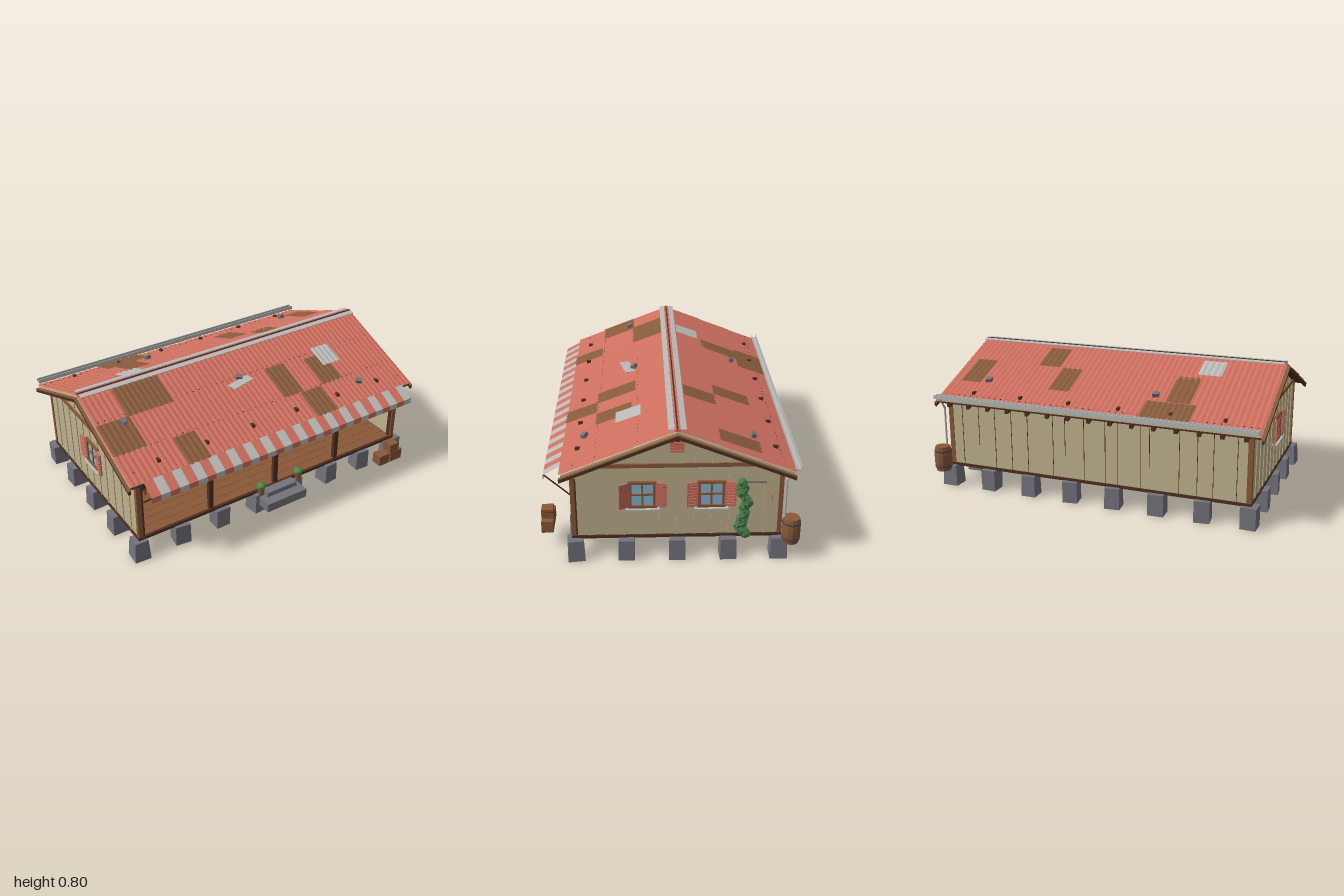
import * as THREE from 'three';

const make = (name, color, double) => {
  const m = new THREE.MeshStandardMaterial({ color });
  m.name = name;
  if (double) m.side = THREE.DoubleSide;
  return m;
};

export function createModel() {
  const house = new THREE.Group();
  house.name = 'house';
  const M = {
    red: make('red paint', 0xcd6f5f, true), dark: make('dark timber', 0x4d2f22),
    wood: make('brown wood', 0x8a5838), rust: make('rusty sheet', 0x875b3b, true),
    tan: make('tan boards', 0xbfb28d), metal: make('pale metal', 0xb9bab7, true),
    stone: make('stone', 0x74737d), glass: make('window glass', 0x8ab6cc),
    green: make('leaves', 0x4e8950), iron: make('iron', 0x44464f),
  };
  let seed = 7;
  const rnd = () => (seed = (seed * 16807) % 2147483647) / 2147483647;

  const add = (name, geo, mat, parent = house) => {
    const m = new THREE.Mesh(geo, mat);
    m.name = name;
    parent.add(m);
    return m;
  };
  const faceted = g => {
    const f = g.toNonIndexed();
    f.computeVertexNormals();
    return f;
  };
  // box given by its limits on each axis
  const box = (name, mat, x0, x1, y0, y1, z0, z1, parent) => {
    const g = new THREE.BoxGeometry(x1 - x0, y1 - y0, z1 - z0);
    g.translate((x0 + x1) / 2, (y0 + y1) / 2, (z0 + z1) / 2);
    return add(name, g, mat, parent);
  };
  // round or square bar between two points
  const bar = (name, mat, a, b, r, sides = 4) => {
    const p = new THREE.Vector3(...a), q = new THREE.Vector3(...b), d = q.clone().sub(p);
    const m = add(name, new THREE.CylinderGeometry(r, r, d.length(), sides), mat);
    m.position.copy(p).add(q).multiplyScalar(0.5);
    m.quaternion.setFromUnitVectors(new THREE.Vector3(0, 1, 0), d.normalize());
  };
  // outline in (z, y) extruded from x0 to x1
  const profile = (name, mat, pts, x0, x1) => {
    const s = new THREE.Shape(pts.map(p => new THREE.Vector2(...p)));
    const g = new THREE.ExtrudeGeometry(s, { depth: x1 - x0, bevelEnabled: false });
    g.rotateY(-Math.PI / 2).translate(x1, 0, 0);
    add(name, g, mat);
  };

  const X0 = -0.93, X1 = 0.915, ZF = 0.525, ZB = -0.6, RZ = -0.036, EF = 0.58, EB = -0.657;
  const roofY = z => 0.787 - 0.4 * Math.abs(z - RZ);

  // irregular stone footings around the perimeter
  for (let i = 0; i < 8; i++) for (let j = 0; j < 5; j++) {
    if (i > 0 && i < 7 && j > 0 && j < 4) continue;
    const g = new THREE.CylinderGeometry(0.057 + rnd() * 0.008, 0.06 + rnd() * 0.008, 0.125, 4);
    g.rotateY(Math.PI / 4 + (rnd() - 0.5) * 0.3);
    add('footing', faceted(g), M.stone).position.set(-0.925 + i * 0.263, 0.0625, 0.51 - j * 0.275);
  }

  // floor slab with staggered boards above and below
  box('floorBase', M.dark, X0 - 0.005, X1 + 0.005, 0.122, 0.14, ZB - 0.005, ZF + 0.005);
  for (let i = 0; i < 18; i++) {
    const z = ZB + 0.02 + i * 0.061, cuts = [X0 + 0.02];
    for (let x = X0 + 0.15 + rnd() * 0.35; x < X1 - 0.1; x += 0.4) cuts.push(x);
    cuts.push(X1 - 0.02);
    for (let k = 1; k < cuts.length; k++)
      box('floorBoard', M.wood, cuts[k - 1], cuts[k] - 0.002, 0.14, 0.143, z, z + 0.0592);
    box('underBoard', M.wood, X0 + 0.02, X1 - 0.02, 0.12, 0.122, z, z + 0.0597);
  }

  // back wall and gable walls
  box('backWall', M.tan, X0 + 0.005, X1 - 0.005, 0.14, 0.55, ZB, ZB + 0.014);
  const gable = [[ZB, 0.14], [ZF, 0.14], [ZF, roofY(ZF) - 0.02], [RZ, roofY(RZ) - 0.02], [ZB, roofY(ZB) - 0.02]];
  profile('leftGable', M.tan, gable, X1 - 0.016, X1 - 0.002);
  profile('rightGable', M.tan, gable, X0 + 0.002, X0 + 0.016);
  for (const x of [X0, X1 - 0.002]) {
    box('gableBand', M.wood, x - 0.008, x + 0.01, 0.555, 0.577, -0.55, 0.51);
    for (let i = 1; i < 12; i++) {
      const z = ZB + i * 0.094;
      box('boardBatten', M.tan, x - 0.003, x + 0.005, 0.14, roofY(z) - 0.03, z - 0.005, z + 0.005);
    }
  }
  for (let i = 1; i < 17; i++) {
    const x = X0 + i * 0.108 + (rnd() - 0.5) * 0.07;
    box('backJoint', M.dark, x, x + 0.003, i % 5 ? 0.14 : 0.27, 0.53, ZB - 0.002, ZB);
  }

  // corner posts, front posts, braces and beams
  for (const x of [X0, X1 - 0.022]) for (const z of [ZB - 0.004, ZF - 0.02])
    box('cornerPost', M.wood, x - 0.003, x + 0.025, 0.14, roofY(z) - 0.02, z, z + 0.024);
  box('frontBeam', M.dark, X0 + 0.02, X1 - 0.02, 0.47, 0.53, 0.5, 0.52);
  [-0.905, -0.46, -0.01, 0.445, 0.9].forEach((x, i) => {
    box('frontPost', M.dark, x - 0.014, x + 0.014, 0.14, 0.49, 0.497, 0.521);
    for (const s of [-1, 1]) if (!(i === 0 && s < 0) && !(i === 4 && s > 0))
      bar('postBrace', M.dark, [x, 0.42, 0.51], [x + s * 0.045, 0.475, 0.51], 0.009);
  });

  // inner posts and rails
  for (const x of [-0.72, -0.37, -0.1, 0.25])
    box('innerPost', M.wood, x - 0.007, x + 0.007, 0.14, 0.56, 0.193, 0.207);
  for (const [a, b] of [[-0.72, -0.46], [-0.37, -0.1], [-0.01, 0.25]]) {
    box('rail', M.wood, a, b, 0.282, 0.295, 0.19, 0.21);
    box('railTop', M.iron, a, b, 0.3, 0.31, 0.19, 0.21);
  }

  // small cabinet against the back wall with a framed door and a jar on top
  box('cabinet', M.tan, -0.9, -0.795, 0.144, 0.34, -0.586, -0.5);
  box('cabinetTop', M.wood, -0.91, -0.79, 0.34, 0.352, -0.586, -0.49);
  for (const x of [-0.9, -0.805]) box('doorStile', M.metal, x, x + 0.01, 0.18, 0.335, -0.5, -0.494);
  for (const y of [0.18, 0.325]) box('doorRail', M.metal, -0.89, -0.805, y, y + 0.01, -0.5, -0.494);
  box('doorKnob', M.iron, -0.818, -0.81, 0.25, 0.258, -0.5, -0.49);
  add('jar', new THREE.CylinderGeometry(0.018, 0.014, 0.035, 8), M.wood).position.set(-0.85, 0.37, -0.54);

  // roof boards, rafters and barge boards
  const chevron = (a, b, top, t) => [[a, roofY(a) - top], [RZ, roofY(RZ) - top], [b, roofY(b) - top],
    [b, roofY(b) - top - t], [RZ, roofY(RZ) - top - t], [a, roofY(a) - top - t]];
  profile('roofBoards', M.tan, chevron(EB + 0.012, EF - 0.012, 0.003, 0.011), -0.983, 0.967);
  profile('roofDeck', M.dark, chevron(EB + 0.01, EF - 0.01, 0.014, 0.008), -0.98, 0.964);
  for (let i = 0; i < 15; i++) {
    const x = -0.9 + i * 0.128;
    profile('rafter', M.dark, chevron(EB + 0.015, EF - 0.015, 0.022, 0.026), x - 0.011, x + 0.011);
  }
  for (const x of [-1, 0.964]) {
    profile('bargeBoard', M.dark, chevron(EB, EF, 0.02, 0.02), x + 0.002, x + 0.015);
    profile('bargeCap', M.wood, chevron(EB, EF, 0.015, 0.006), x, x + 0.017);
  }
  box('ridgeBeam', M.dark, -0.98, 0.965, 0.728, 0.752, RZ - 0.012, RZ + 0.012);

  // corrugated sheets that follow the roof slope, patches with a toothed lower edge
  const sheet = (name, mat, x0, x1, z0, z1, lift, tooth = 0) => {
    const n = Math.max(2, Math.round((x1 - x0) / 0.0165));
    const g = new THREE.PlaneGeometry(x1 - x0, z1 - z0, n, 1);
    g.rotateX(-Math.PI / 2).translate((x0 + x1) / 2, 0, (z0 + z1) / 2);
    const p = g.attributes.position, top = Math.min(Math.abs(z0 - RZ), Math.abs(z1 - RZ));
    for (let i = 0; i < p.count; i++) {
      const col = i % (n + 1), low = Math.abs(p.getZ(i) - RZ) > top + 0.01;
      if (low && col % 2) p.setZ(i, p.getZ(i) + tooth * Math.sign(z0 + z1 - 2 * RZ));
      p.setY(i, roofY(p.getZ(i)) + lift + (low ? 0.004 : 0) + (col % 2 ? 0.005 : 0));
    }
    add(name, faceted(g), mat);
  };
  for (const [a, b] of [[RZ, 0.2], [0.19, 0.4], [0.39, EF], [-0.27, RZ], [-0.48, -0.26], [EB, -0.47]])
    sheet('roofSheet', M.red, -0.984, 0.965, a, b, 0);
  const rusty = [[-0.79, -0.5, 0, 0.19], [-0.98, -0.78, 0.19, 0.39], [-0.63, -0.49, 0.4, 0.575],
    [0.13, 0.27, 0.18, 0.395], [0.24, 0.39, 0.4, 0.575], [0.41, 0.56, 0.2, 0.395],
    [-0.58, -0.29, -0.655, -0.48], [-0.54, -0.4, -0.475, -0.25], [0.19, 0.32, -0.475, -0.27],
    [0.77, 0.9, -0.475, -0.26], [0.34, 0.48, -0.265, -0.09]];
  rusty.forEach(r => sheet('rustyPatch', M.rust, ...r, 0.006, 0.012));
  sheet('metalPatch', M.metal, 0.5, 0.63, 0.15, 0.285, 0.012, 0.008);
  sheet('metalPatch', M.metal, -0.65, -0.51, -0.225, -0.09, 0.01, 0.008);
  const loose = add('looseSheet', new THREE.BoxGeometry(0.165, 0.003, 0.06), M.metal);
  loose.position.set(-0.07, 0.71, 0.23);
  loose.rotation.y = 0.25;

  // ridge caps, screws, roof hooks and weighing stones
  for (const s of [-1, 1]) {
    const cap = box('ridgeCap', M.metal, -0.975, 0.96, -0.0015, 0.0015, -0.016, 0.016);
    cap.position.set(0, 0.794, RZ + s * 0.031);
    cap.rotation.x = s * 0.12;
  }
  box('ridgeRoll', M.red, -0.98, 0.965, 0.785, 0.794, RZ - 0.014, RZ + 0.014);
  box('ridgePole', M.dark, -0.98, 0.965, 0.79, 0.798, RZ - 0.004, RZ + 0.004);
  for (const z of [-0.6, 0.17, 0.39]) for (let i = 0; i < 48; i++) {
    const x = -0.96 + i * 0.04;
    box('screw', M.dark, x, x + 0.007, roofY(z), roofY(z) + 0.008, z - 0.0015, z + 0.0015);
  }
  for (const z of [-0.575, 0.49]) for (let i = 0; i < 6; i++) {
    const x = -0.77 + i * 0.305;
    box('roofHook', M.dark, x - 0.008, x + 0.008, roofY(z), roofY(z) + 0.018, z - 0.012, z + 0.014);
  }
  for (const [x, z] of [[-0.33, -0.435], [0.72, -0.455], [-0.83, 0.22], [0.64, 0.46], [-0.055, 0.19]]) {
    const r = add('roofStone', new THREE.BoxGeometry(0.036, 0.022, 0.028), M.stone);
    r.position.set(x, x === -0.055 ? 0.722 : roofY(z) + 0.018, z);
    r.rotation.set(z > 0 ? 0.38 : -0.38, x * 9, 0);
  }

  // striped awning with valance and struts
  const slope = new THREE.PlaneGeometry(0.0563, Math.hypot(0.09, 0.05));
  slope.rotateX(-Math.PI / 2 + Math.atan2(0.05, 0.09));
  const flap = new THREE.PlaneGeometry(0.0563, 0.034);
  for (let i = 0; i < 32; i++) {
    const x = -0.91 + (i + 0.5) * 0.0563, mat = i % 2 ? M.metal : M.red;
    add('awningStripe', slope, mat).position.set(x, 0.528, 0.623);
    add('awningFlap', flap, mat).position.set(x, 0.486, 0.668);
  }
  for (const x of [-0.905, 0.885]) bar('awningStrut', M.dark, [x, 0.37, 0.522], [x, 0.503, 0.666], 0.0045);
  bar('awningRod', M.dark, [-0.91, 0.502, 0.664], [0.89, 0.502, 0.664], 0.003);

  // windows, built facing +z and turned onto the side walls
  const windowAt = (side, z, slats) => {
    const w = new THREE.Group();
    w.name = 'window';
    box('glass', M.glass, -0.065, 0.065, -0.068, 0.068, 0, 0.006, w);
    for (const s of [-1, 1]) {
      box('frameSide', M.wood, s * 0.064 - 0.007, s * 0.064 + 0.007, -0.075, 0.075, 0, 0.014, w);
      box('frameRail', M.wood, -0.076, 0.076, s * 0.072 - 0.007, s * 0.072 + 0.007, 0, 0.016, w);
      const sh = new THREE.Group();
      sh.name = 'shutter';
      sh.position.set(s * 0.07, 0, 0.006);
      sh.rotation.y = s < 0 && !slats ? 0.45 : -s * 0.15;
      w.add(sh);
      const a = s > 0 ? 0 : -0.062;
      box('shutterPanel', M.red, a, a + 0.062, -0.073, 0.073, 0, 0.008, sh);
      if (slats) for (let i = 0; i < 8; i++)
        box('slat', M.red, a + 0.008, a + 0.054, -0.064 + i * 0.017, -0.055 + i * 0.017, 0.008, 0.014, sh);
      else for (const y of [-0.05, 0.05])
        box('hinge', M.iron, s * 0.048 - 0.003, s * 0.048 + 0.003, y - 0.003, y + 0.003, 0.008, 0.011, sh);
    }
    box('mullion', M.wood, -0.005, 0.005, -0.07, 0.07, 0, 0.011, w);
    box('crossBar', M.wood, -0.065, 0.065, -0.005, 0.005, 0, 0.011, w);
    box('sill', M.metal, -0.09, 0.09, -0.088, -0.08, 0, 0.03, w);
    w.position.set(side > 0 ? X1 - 0.001 : X0 + 0.001, 0.393, z);
    w.rotation.y = side * Math.PI / 2;
    house.add(w);
  };
  windowAt(1, 0.147, false);
  windowAt(1, -0.22, true);
  windowAt(-1, 0, true);

  // gable vents and a small red sign plate by the corner
  for (const x of [X0 - 0.006, X1 - 0.004]) {
    box('ventBack', M.dark, x, x + 0.009, 0.643, 0.703, RZ - 0.036, RZ + 0.036);
    for (let i = 0; i < 4; i++)
      box('ventSlat', M.red, x - 0.003, x + 0.012, 0.643 + i * 0.0152, 0.6567 + i * 0.0152, RZ - 0.037, RZ + 0.037);
  }
  box('signPlate', M.red, X1, X1 + 0.035, 0.36, 0.4, -0.543, -0.539);

  // climbing vine with dark berries, and its rod
  for (let i = 0; i < 30; i++) {
    const t = i / 29, y = 0.14 + t * 0.312, z = -0.395 + Math.sin(t * 8) * 0.012;
    const leaf = add('vineLeaf', new THREE.DodecahedronGeometry(0.025 + rnd() * 0.009), M.green);
    leaf.position.set(X1 + 0.004 + rnd() * 0.006, y, z + (rnd() - 0.5) * 0.026);
    leaf.rotation.x = rnd() * 3;
    leaf.scale.set(0.5, 1, t > 0.93 ? 1.4 : 1);
    if (i % 4 === 1) add('berry', new THREE.IcosahedronGeometry(0.007, 1), M.iron)
      .position.set(X1 + 0.022, y, z + (rnd() - 0.5) * 0.03);
  }
  bar('vineRod', M.iron, [X1 + 0.015, 0.466, -0.36], [X1 + 0.015, 0.464, -0.51], 0.002, 6);

  // gutter and downspout
  box('gutterBase', M.metal, -0.975, 0.965, 0.552, 0.556, -0.683, -0.655);
  for (const z of [-0.685, -0.657]) box('gutterSide', M.metal, -0.975, 0.965, 0.552, 0.575, z, z + 0.004);
  bar('downspout', M.metal, [0.94, 0.555, -0.66], [0.94, 0.48, -0.613], 0.006, 8);
  bar('downspout', M.metal, [0.94, 0.485, -0.613], [0.94, 0.25, -0.613], 0.006, 8);

  // rain barrel
  const barrel = new THREE.Group();
  barrel.name = 'barrel';
  barrel.position.set(0.945, 0.104, -0.652);
  house.add(barrel);
  const curve = [[0, 0], [0.044, 0], [0.051, 0.045], [0.052, 0.075], [0.051, 0.105], [0.044, 0.15], [0, 0.148]];
  add('staves', faceted(new THREE.LatheGeometry(curve.map(p => new THREE.Vector2(...p)), 12)), M.wood, barrel);
  for (const y of [0.028, 0.122])
    add('hoop', new THREE.CylinderGeometry(0.0515, 0.0515, 0.009, 12), M.iron, barrel).position.y = y;

  // stone steps with potted plants
  box('lowerStep', M.stone, -0.15, 0.13, 0.055, 0.11, 0.53, 0.645);
  box('upperStep', M.stone, -0.11, 0.1, 0.11, 0.14, 0.53, 0.585);
  for (const x of [-0.145, 0.125]) {
    add('pot', new THREE.CylinderGeometry(0.024, 0.017, 0.052, 10), M.wood).position.set(x, 0.165, 0.563);
    for (let i = 0; i < 4; i++)
      add('plant', new THREE.IcosahedronGeometry(0.019, 1), M.green)
        .position.set(x + Math.cos(i * 1.6) * 0.01, 0.192 + (i % 2) * 0.007, 0.563 + Math.sin(i * 1.6) * 0.01);
  }

  // stacked crates
  for (const [x, y, w, h] of [[0.655, 0.103, 0.075, 0.068], [0.74, 0.103, 0.09, 0.07], [0.732, 0.174, 0.065, 0.055]]) {
    box('crate', M.wood, x, x + w, y, y + h, 0.638, 0.703);
    for (const k of [0.33, 0.66]) box('crateGap', M.dark, x, x + w, y + h * k, y + h * k + 0.002, 0.637, 0.704);
  }
  return house;
}
